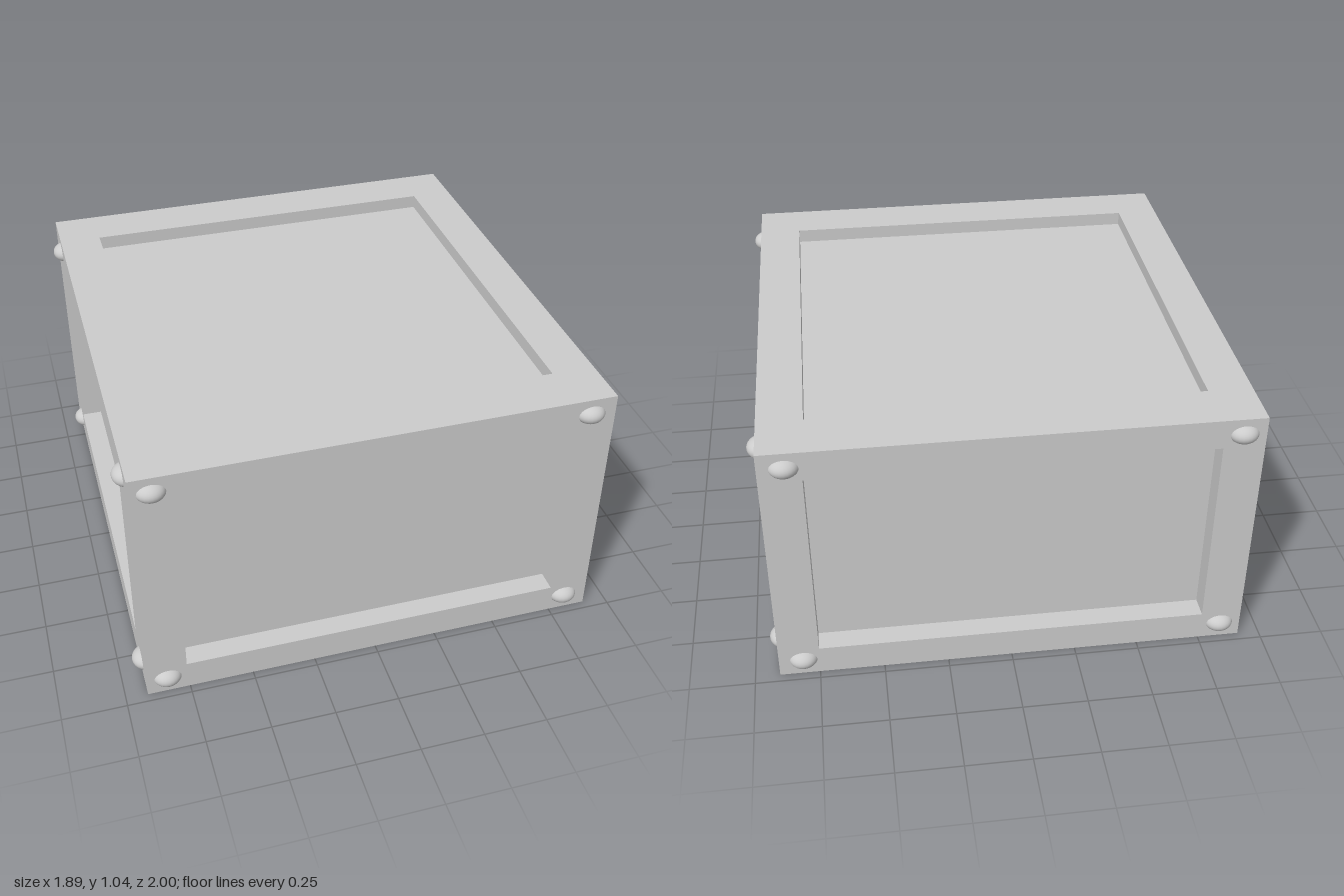
import * as THREE from 'three';

const W = 0.91, H = 0.5225, D = 0.966; // half sizes of the box
const CX = -0.005;                     // box centre in x

const material = new THREE.MeshStandardMaterial({ color: 0xcccccc });

// Box face in the xy plane looking along +z: a flat rim, four recess walls and a sunken panel.
function recessedFace(w, h, panelW, panelH, depth) {
  const corners = [[-1, -1], [1, -1], [1, 1], [-1, 1]];
  const ring = (x, y, z) => corners.map(([sx, sy]) => [sx * x, sy * y, z]);
  const rings = [ring(w, h, 0), ring(panelW, panelH, 0), ring(panelW, panelH, -depth)];
  const positions = [];
  const quad = (a, b, c, d) => positions.push(...a, ...b, ...c, ...a, ...c, ...d);
  for (let r = 0; r < 2; r++) {
    for (let i = 0; i < 4; i++) {
      const j = (i + 1) % 4;
      quad(rings[r][i], rings[r][j], rings[r + 1][j], rings[r + 1][i]);
    }
  }
  quad(...rings[2]);
  const geometry = new THREE.BufferGeometry();
  geometry.setAttribute('position', new THREE.Float32BufferAttribute(positions, 3));
  geometry.computeVertexNormals();
  return geometry;
}

export function createModel() {
  const model = new THREE.Group();
  model.name = 'crate';

  // Six faces; rivets are given by their two horizontal positions along the face
  const faces = [
    { name: 'front', size: [W, H, 0.753, 0.403, 0.085], at: [0, 0, D], rot: [0, 0], rivets: [-0.828, 0.815] },
    { name: 'back', size: [W, H, 0.753, 0.403, 0.085], at: [0, 0, -D], rot: [0, Math.PI], rivets: [-0.815, 0.828] },
    { name: 'left', size: [D, H, 0.74, 0.398, 0.085], at: [W, 0, 0], rot: [0, Math.PI / 2], rivets: [-0.82, 0.82] },
    { name: 'right', size: [D, H, 0.74, 0.398, 0.085], at: [-W, 0, 0], rot: [0, -Math.PI / 2], rivets: [-0.805, 0.835] },
    { name: 'top', size: [W, D, 0.74, 0.766, 0.056], at: [0, H, 0], rot: [-Math.PI / 2, 0], rivets: [] },
    { name: 'bottom', size: [W, D, 0.74, 0.766, 0.028], at: [0, -H, 0], rot: [Math.PI / 2, 0], rivets: [] },
  ];
  const rivetGeometry = new THREE.SphereGeometry(1, 24, 16).scale(0.057, 0.04, 0.055);

  for (const { name, size, at, rot, rivets } of faces) {
    const side = new THREE.Group();
    side.name = name + 'Side';
    side.position.set(at[0] + CX, at[1] + H, at[2]);
    side.rotation.set(rot[0], rot[1], 0);

    const face = new THREE.Mesh(recessedFace(...size), material);
    face.name = name + 'Panel';
    side.add(face);

    // Flattened rivets, partly sunk into the rim corners
    for (const x of rivets) {
      for (const y of [-0.456, 0.456]) {
        const rivet = new THREE.Mesh(rivetGeometry, material);
        rivet.name = name + 'Rivet';
        rivet.position.set(x, y, -0.02);
        side.add(rivet);
      }
    }
    model.add(side);
  }
  return model;
}
